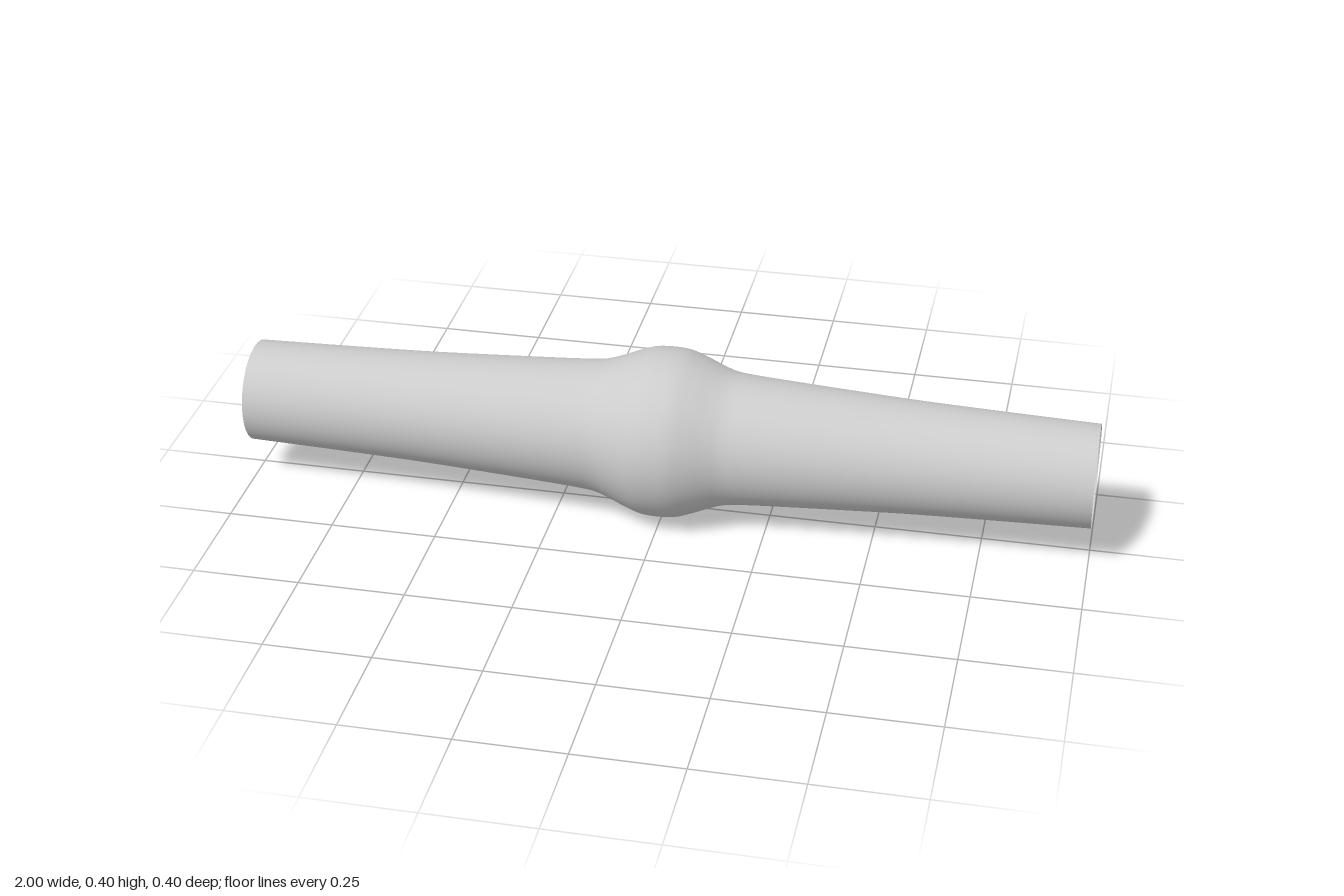
import * as THREE from 'three';

// Half profile: [distance from the middle, radius]
const HALF = [
  [0, 0.2], [0.04, 0.197], [0.08, 0.184], [0.12, 0.168], [0.155, 0.157],
  [0.2, 0.152], [0.28, 0.147], [0.45, 0.138], [0.6, 0.131], [0.8, 0.125], [1, 0.12],
];

export function createModel() {
  const group = new THREE.Group();
  group.name = 'sleeve';

  // Mirror the half profile and smooth it
  const points = [
    ...HALF.slice(1).reverse().map(([x, r]) => new THREE.Vector2(r, -x)),
    ...HALF.map(([x, r]) => new THREE.Vector2(r, x)),
  ];
  const profile = new THREE.SplineCurve(points).getPoints(120);

  // Thin open tube with a swollen middle, lying along x
  const geometry = new THREE.LatheGeometry(profile, 96);
  geometry.rotateZ(-Math.PI / 2);
  geometry.translate(0, 0.2, 0);

  const tube = new THREE.Mesh(
    geometry,
    new THREE.MeshStandardMaterial({ color: 0xcccccc, side: THREE.DoubleSide }),
  );
  tube.name = 'bulgedTube';
  group.add(tube);
  return group;
}
